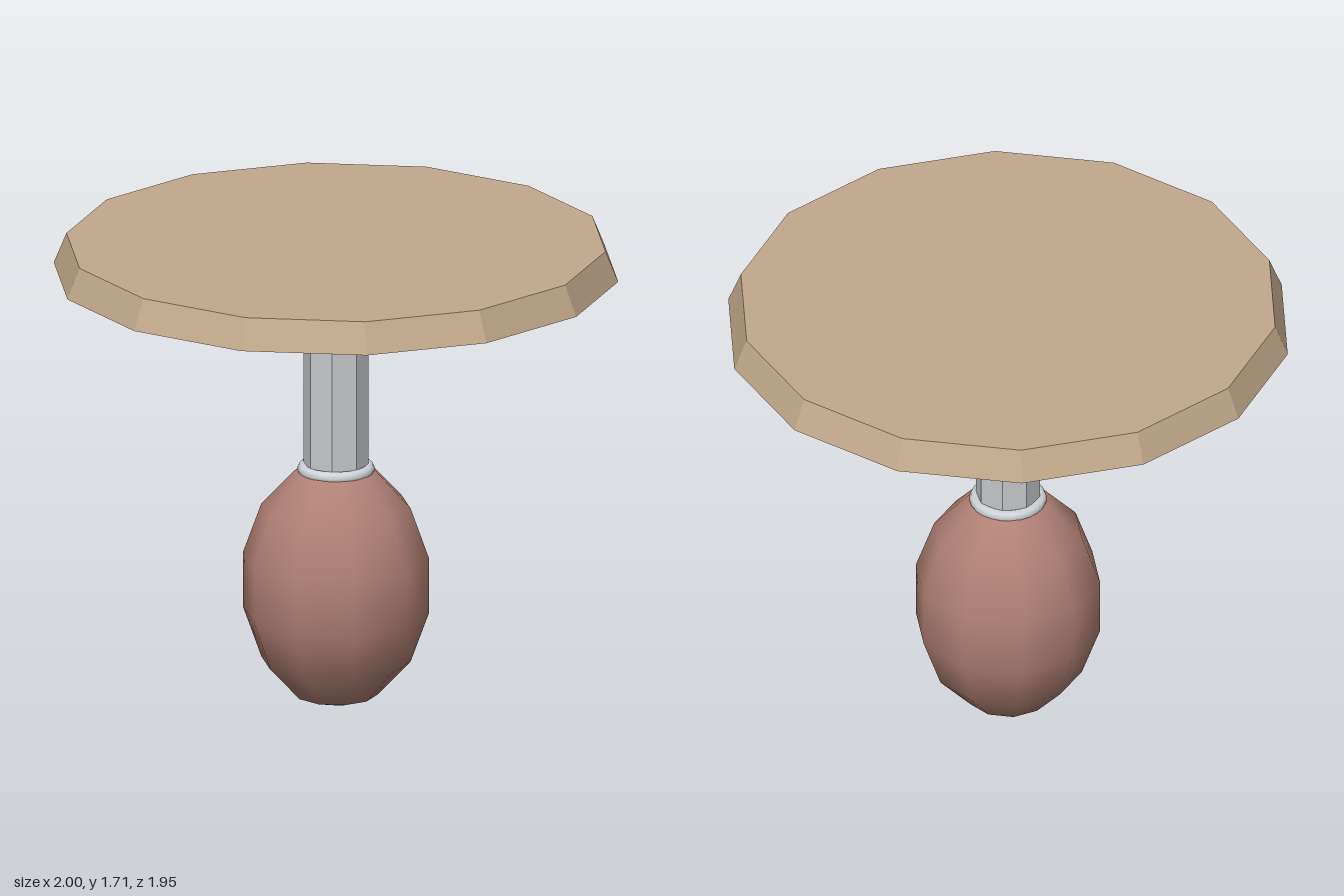
import * as THREE from 'three';

const mat = (name, color, flatShading = false) => {
  const m = new THREE.MeshStandardMaterial({ color, flatShading });
  m.name = name;
  return m;
};

export function createModel() {
  const model = new THREE.Group();
  model.name = 'pedestalTable';

  const wood = mat('lightWood', 0xc2a98b, true);
  const metal = mat('greyMetal', 0xc6c8cd, true);
  const collarMetal = mat('paleMetal', 0xd0d4d9);
  const clay = mat('clay', 0xb08074);

  const add = (name, geometry, material, y) => {
    const mesh = new THREE.Mesh(geometry, material);
    mesh.name = name;
    mesh.position.y = y;
    model.add(mesh);
    return mesh;
  };

  // Fourteen-sided top with a bevelled edge, corners on the x axis
  const top = new THREE.CylinderGeometry(0.955, 1, 0.11, 14, 1, false, Math.PI / 2);
  add('tableTop', top, wood, 1.655);

  // Octagonal column, sunk slightly into the base
  add('column', new THREE.CylinderGeometry(0.115, 0.115, 0.74, 8), metal, 1.23);

  // Ring where the column meets the base
  const collar = new THREE.TorusGeometry(0.115, 0.022, 8, 24).rotateX(Math.PI / 2);
  add('collar', collar, collarMetal, 0.877);

  // Egg-shaped base
  const base = new THREE.SphereGeometry(1, 10, 7).scale(0.338, 0.453, 0.338);
  add('base', base, clay, 0.457);

  return model;
}
